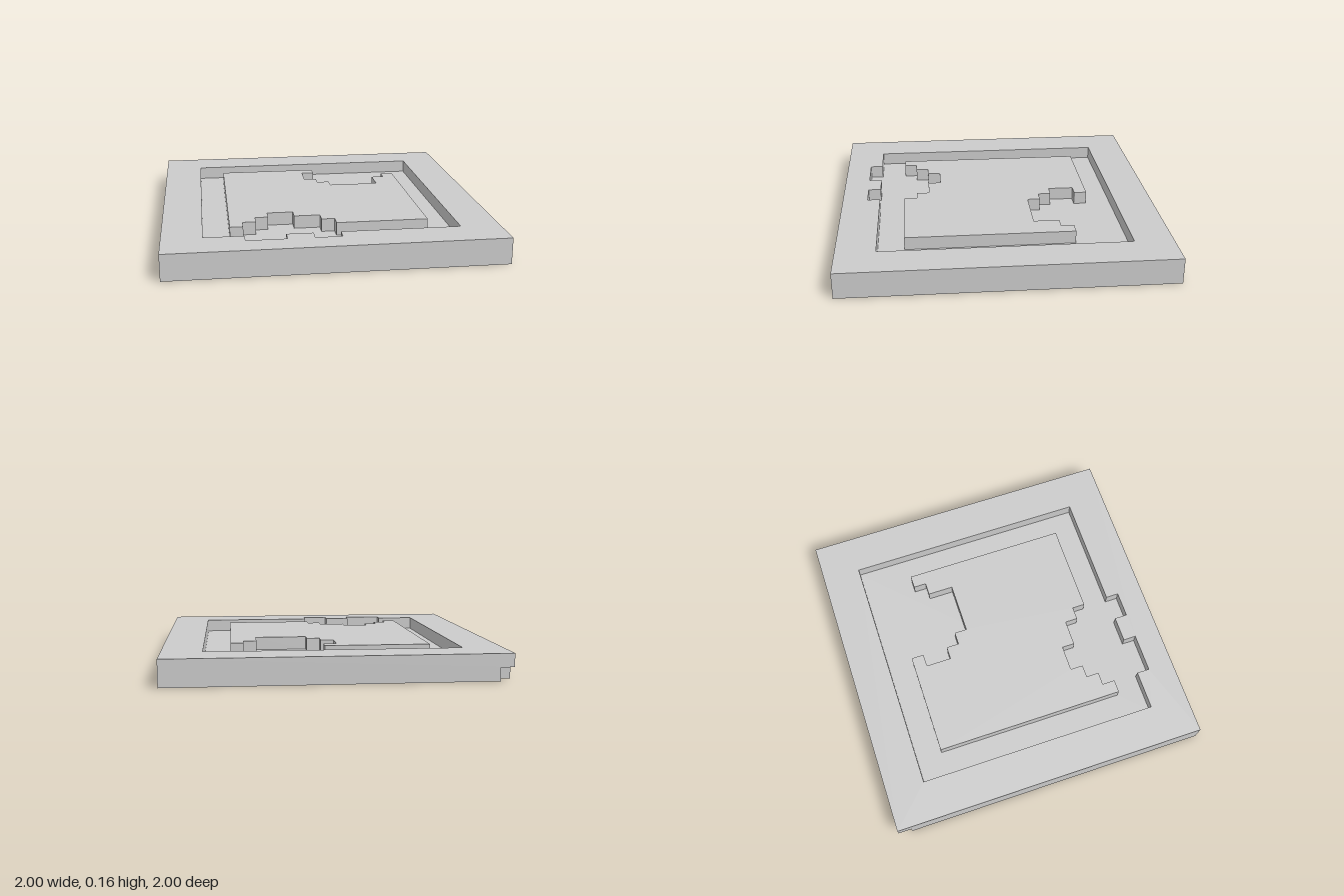
import * as THREE from 'three';

const CELL = 0.08; // everything sits on a 25 x 25 grid, two layers high

const material = new THREE.MeshStandardMaterial({ color: 0xcccccc, flatShading: true });

// Outline given in x, z
const points = (list) => list.map(([x, z]) => new THREE.Vector2(x, z));

// One-cell-thick layer whose top lies at the given height
function layer(name, outline, top, hole) {
  const shape = new THREE.Shape(points(outline));
  if (hole) shape.holes.push(new THREE.Path(points(hole)));
  const geometry = new THREE.ExtrudeGeometry(shape, { depth: CELL, bevelEnabled: false });
  geometry.rotateX(Math.PI / 2).translate(0, top, 0);
  const mesh = new THREE.Mesh(geometry, material);
  mesh.name = name;
  return mesh;
}

export function createModel() {
  const group = new THREE.Group();
  group.name = 'steppedTile';

  // Floor slab, one cell missing at the back corner
  const floor = [[-0.92, -1], [1, -1], [1, 1], [-1, 1], [-1, -0.92], [-0.92, -0.92]];

  // Square rim around the channel, with two bites in its front inner edge
  const rim = [[-1, -1], [1, -1], [1, 1], [-1, 1]];
  const rimOpening = [
    [-0.76, -0.76], [0.76, -0.76], [0.76, 0.76],
    [0.04, 0.76], [0.04, 0.84], [-0.12, 0.84], [-0.12, 0.76],
    [-0.28, 0.76], [-0.28, 0.84], [-0.52, 0.84], [-0.52, 0.76], [-0.76, 0.76],
  ];

  // Raised centre with stepped bays at the back and at the front
  const island = [
    [-0.6, -0.6], [0.04, -0.6], [0.04, -0.52], [-0.04, -0.52], [-0.04, -0.36],
    [0.04, -0.36], [0.04, -0.28], [0.12, -0.28], [0.12, -0.2], [0.44, -0.2],
    [0.44, -0.36], [0.52, -0.36], [0.52, -0.44], [0.6, -0.44], [0.6, 0.6],
    [0.04, 0.6], [0.04, 0.52], [-0.04, 0.52], [-0.04, 0.44], [-0.2, 0.44],
    [-0.2, 0.36], [-0.36, 0.36], [-0.36, 0.44], [-0.44, 0.44], [-0.44, 0.52],
    [-0.52, 0.52], [-0.52, 0.6], [-0.6, 0.6],
  ];

  group.add(
    layer('floorSlab', floor, CELL),
    layer('rim', rim, 2 * CELL, rimOpening),
    layer('raisedCentre', island, 2 * CELL),
  );
  return group;
}
